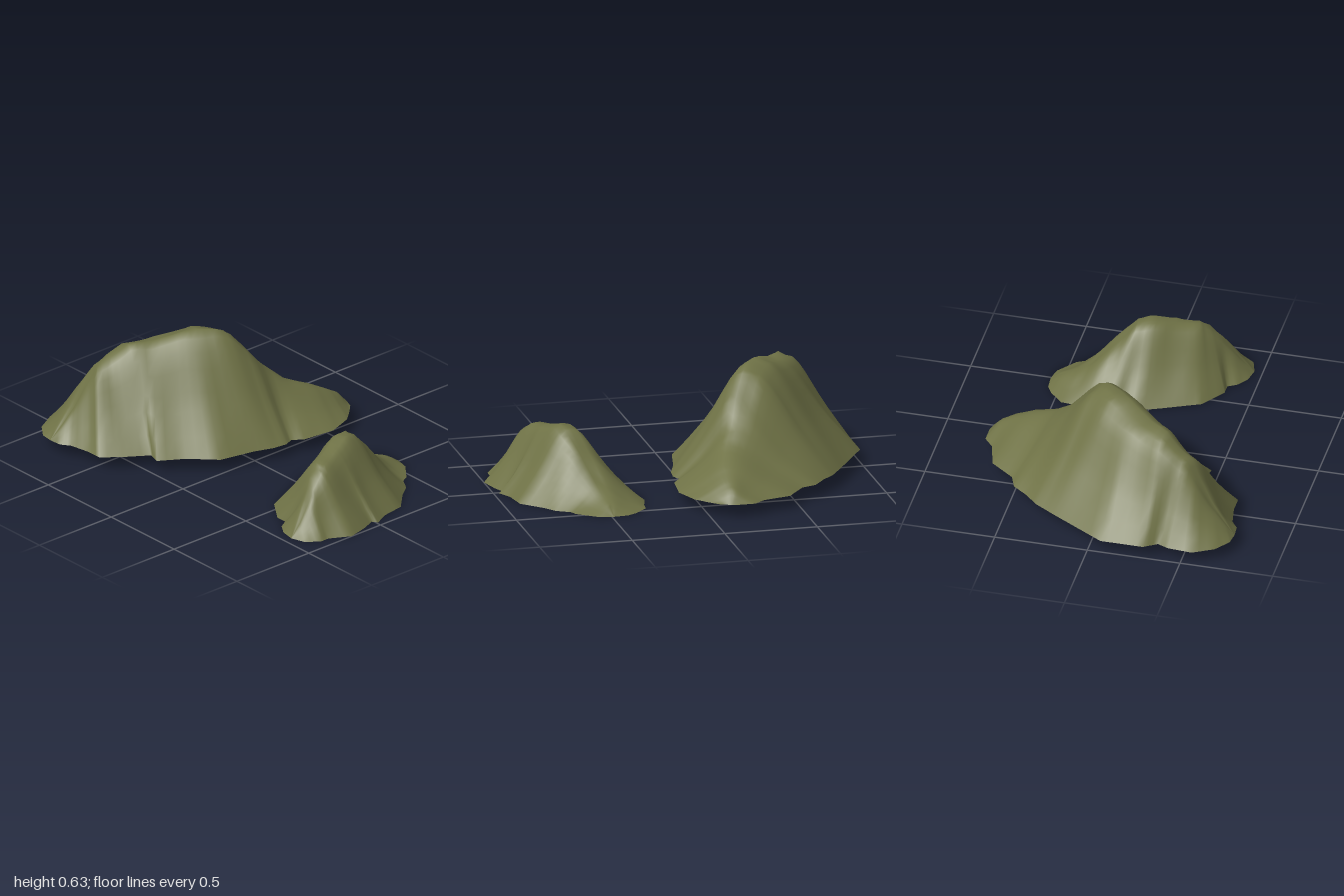
import * as THREE from 'three';

// Each row is one cross-section, from the front tip to the back tip:
// foot on the -x side (x, z), crest (x, y, z), foot on the +x side (x, z)
const LARGE = [
  [-.78, .74, -.78, .07, .74, -.78, .74],
  [-.85, .73, -.765, .15, .67, -.71, .735],
  [-.93, .67, -.75, .235, .60, -.66, .70],
  [-.99, .56, -.735, .36, .525, -.55, .68],
  [-.98, .43, -.715, .45, .47, -.46, .68],
  [-.955, .37, -.70, .49, .40, -.38, .58],
  [-1, .30, -.66, .54, .32, -.30, .46],
  [-1, .19, -.59, .55, .2, -.23, .48],
  [-1, .07, -.52, .58, .1, -.15, .35],
  [-.88, -.13, -.46, .613, .02, -.02, .22],
  [-.82, -.23, -.40, .605, -.05, .02, .03],
  [-.75, -.34, -.36, .58, -.11, .06, -.08],
  [-.68, -.41, -.30, .475, -.19, .07, -.16],
  [-.62, -.49, -.25, .37, -.28, .05, -.21],
  [-.54, -.52, -.19, .28, -.38, .09, -.27],
  [-.44, -.65, -.14, .22, -.51, .11, -.45],
  [-.29, -.69, -.13, .17, -.61, .06, -.59],
  [-.23, -.74, -.12, .13, -.68, 0, -.66],
  [-.14, -.74, -.10, .07, -.73, -.05, -.71],
];
const SMALL = [
  [.81, .455, .81, 0, .455, .81, .455],
  [.73, .44, .80, .07, .39, .89, .43],
  [.67, .40, .785, .15, .33, .94, .36],
  [.64, .35, .77, .22, .28, .94, .31],
  [.58, .35, .75, .28, .22, 1, .2],
  [.45, .26, .73, .315, .18, .97, .08],
  [.41, .17, .69, .325, .09, .94, .01],
  [.36, .06, .66, .345, .02, .97, -.01],
  [.31, -.06, .63, .363, -.05, .93, -.09],
  [.31, -.14, .61, .355, -.12, .91, -.22],
  [.28, -.2, .58, .28, -.19, .81, -.32],
  [.26, -.31, .55, .21, -.26, .76, -.39],
  [.285, -.4, .52, .13, -.34, .69, -.43],
  [.29, -.46, .50, .08, -.42, .67, -.47],
  [.36, -.53, .49, .05, -.49, .57, -.55],
  [.41, -.56, .49, .025, -.53, .53, -.56],
  [.49, -.567, .49, 0, -.567, .49, -.567],
];

// Slope from foot to crest: [distance, height], both 0 to 1
const SLOPE = [[0, 0], [.17, .17], [.35, .355], [.47, .49], [.6, .65], [.7, .775], [.8, .885], [.9, .965], [1, 1]];
const STEPS = 3; // sections per row

// bulge rounds the shoulders of the middle sections: [-x side, +x side]
function hillGeometry(rows, baseY, bulge, gully) {
  const positions = [], index = [];
  const across = SLOPE.length * 2 - 1;
  const sections = (rows.length - 1) * STEPS + 1;

  for (let i = 0; i < sections; i++) {
    const k = Math.min(Math.floor(i / STEPS), rows.length - 2);
    const f = i / STEPS - k;
    const [lx, lz, cx, cy, cz, rx, rz] = rows[k].map((v, n) => v + (rows[k + 1][n] - v) * f);
    const height = cy - baseY;
    const middle = Math.sin(Math.PI * Math.min(1, i / (sections - 1) / 0.9)) ** 2;

    for (let j = 0; j < across; j++) {
      const right = j >= SLOPE.length;
      const [t, h] = SLOPE[right ? across - 1 - j : j];
      const fx = right ? rx : lx, fz = right ? rz : lz;
      const shoulder = bulge[right ? 1 : 0] * middle * 9.5 * t ** 3 * (1 - t);
      // Gullies run down the flanks, with small ledges near the crest
      const wave = Math.sin(i * 1.05 + t * 1.5 + (right ? 0 : 2)) + 0.7 * Math.sin(i * 0.47 - t * 2);
      const ledge = 0.5 * t * t * Math.sin(i * 1.9 + t * 5);
      const cut = gully * (right ? 1 : 0.6) * (wave + ledge) * 4 * t * (1 - t);
      positions.push(fx + (cx - fx) * t, baseY + height * (h + shoulder + cut), fz + (cz - fz) * t);
    }
  }
  for (let i = 0; i < sections - 1; i++) {
    for (let j = 0; j < across - 1; j++) {
      const a = i * across + j, c = a + across;
      index.push(a, a + 1, c, a + 1, c + 1, c);
    }
  }
  const geometry = new THREE.BufferGeometry();
  geometry.setAttribute('position', new THREE.Float32BufferAttribute(positions, 3));
  geometry.setIndex(index);
  geometry.computeVertexNormals();
  return geometry;
}

export function createModel() {
  const group = new THREE.Group();
  group.name = 'hills';
  const moss = new THREE.MeshStandardMaterial({ color: 0x6f7246, side: THREE.DoubleSide });
  moss.name = 'moss green';

  // Two hollow hills, open underneath
  const addHill = (name, rows, baseY, bulge, gully) => {
    const mesh = new THREE.Mesh(hillGeometry(rows, baseY, bulge, gully), moss);
    mesh.name = name;
    group.add(mesh);
  };
  addHill('largeHill', LARGE, 0.07, [0.025, 0.11], 0.02);
  addHill('smallHill', SMALL, 0, [0.06, 0.08], 0.025);
  return group;
}
